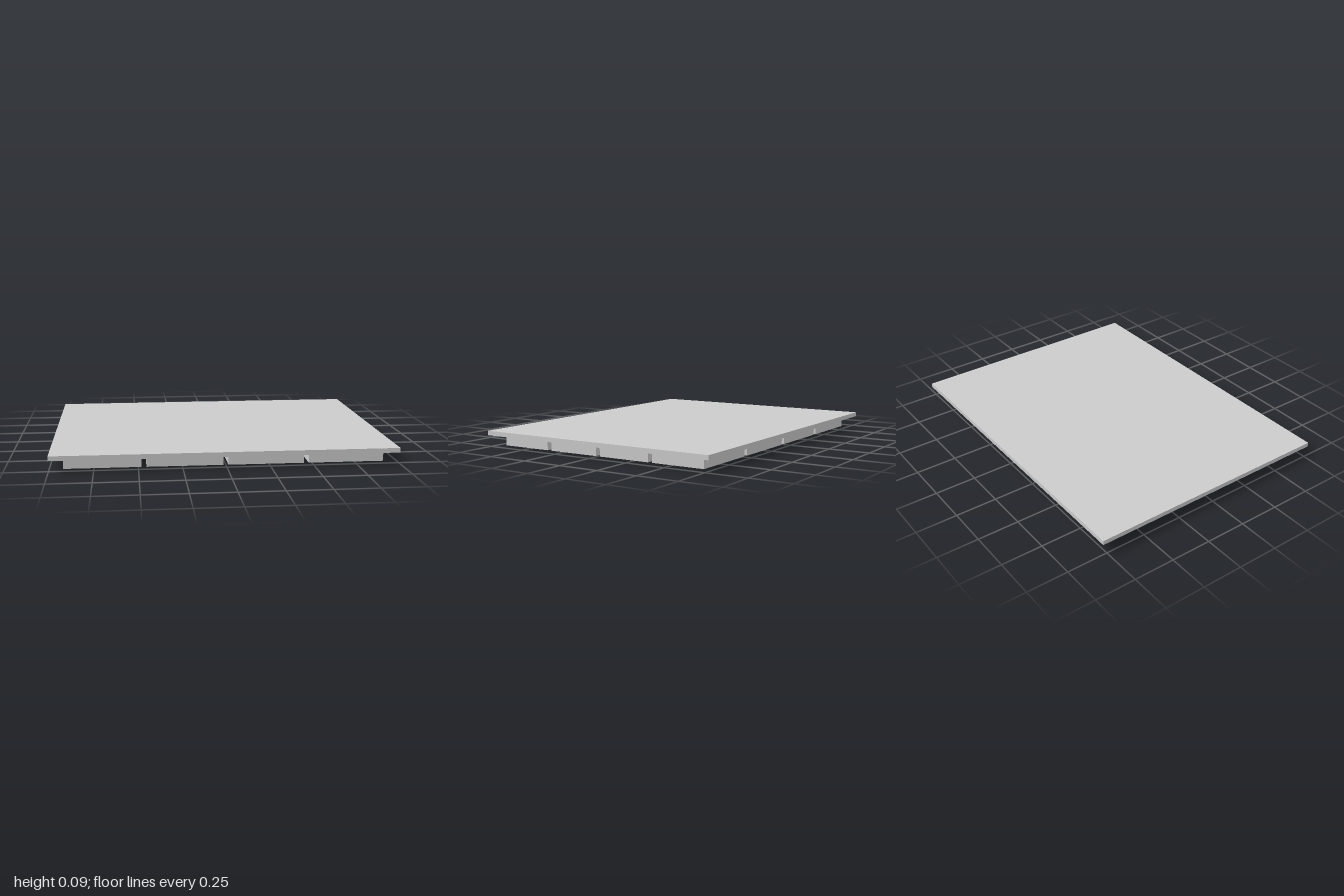
import * as THREE from 'three';

const SLAB = { width: 2, depth: 1.545, bottom: 0.066, top: 0.093 };
const BLOCK = { width: 0.44, depth: 0.328, pitchX: 0.468, pitchZ: 0.356 };
const COUNT = 4;

export function createModel() {
  const group = new THREE.Group();
  group.name = 'ribbedPanel';
  const material = new THREE.MeshStandardMaterial({ color: 0xcccccc });

  // Flat slab on top
  const thickness = SLAB.top - SLAB.bottom;
  const slab = new THREE.Mesh(new THREE.BoxGeometry(SLAB.width, thickness, SLAB.depth), material);
  slab.name = 'topSlab';
  slab.position.y = SLAB.bottom + thickness / 2;
  group.add(slab);

  // Grid of blocks underneath, separated by narrow grooves
  const blocks = new THREE.Group();
  blocks.name = 'undersideBlocks';
  const blockGeometry = new THREE.BoxGeometry(BLOCK.width, SLAB.bottom, BLOCK.depth);
  const middle = (COUNT - 1) / 2;
  for (let row = 0; row < COUNT; row++) {
    for (let column = 0; column < COUNT; column++) {
      const block = new THREE.Mesh(blockGeometry, material);
      block.name = `block_${row + 1}_${column + 1}`;
      block.position.set(
        (column - middle) * BLOCK.pitchX,
        SLAB.bottom / 2,
        (row - middle) * BLOCK.pitchZ
      );
      blocks.add(block);
    }
  }
  group.add(blocks);

  return group;
}
